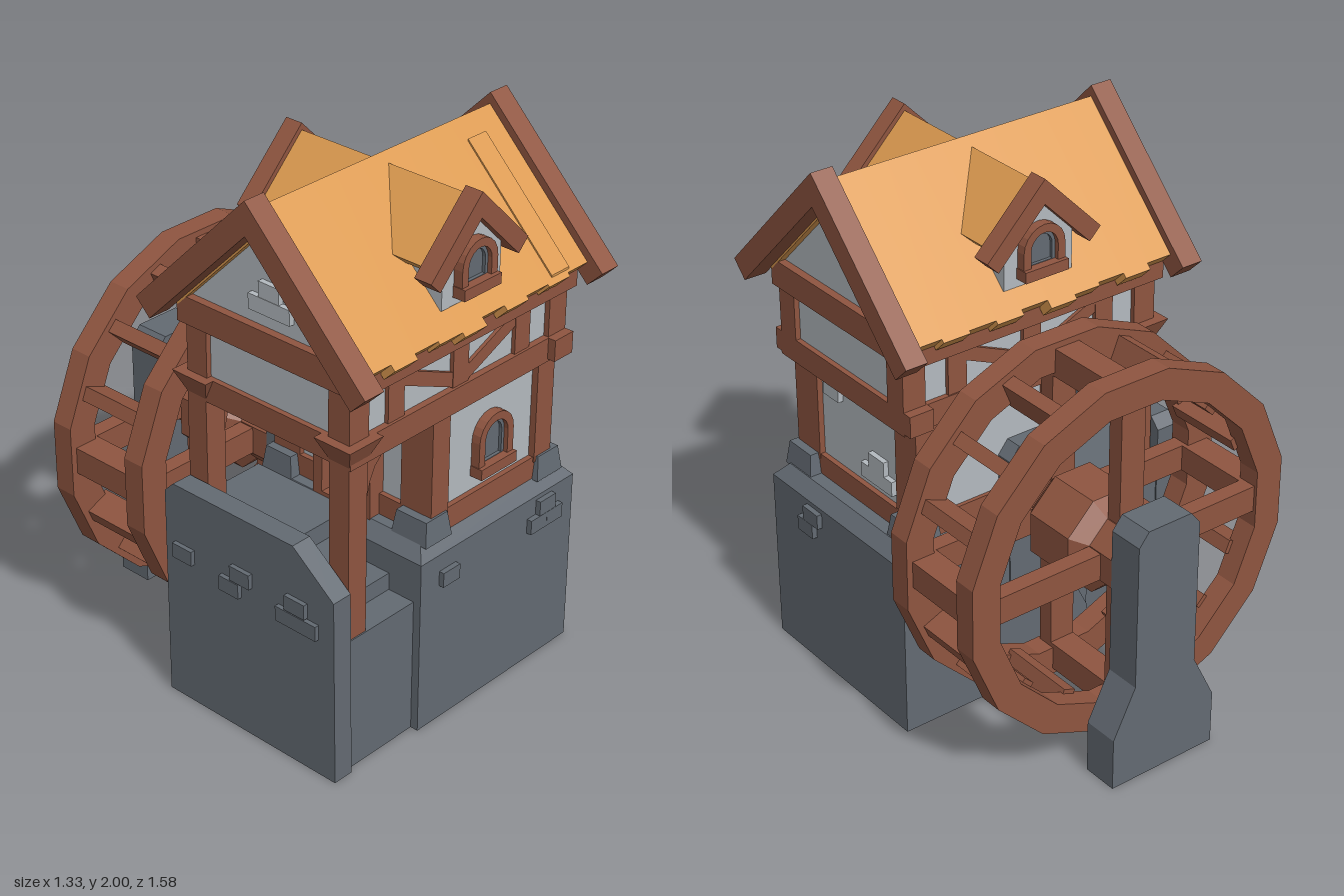
import * as THREE from 'three';

const mat = (name, color) => new THREE.MeshStandardMaterial({ name, color, flatShading: true });
const MID = 0.285; // z of the roof ridge

export function createModel() {
  const stone = mat('dark stone', 0x636a72);
  const plaster = mat('pale plaster', 0xb4babf);
  const wood = mat('red brown wood', 0x8f5540);
  const thatch = mat('golden thatch', 0xdc9a50);
  const root = new THREE.Group();
  root.name = 'watermill';

  const group = (name, parent = root) => {
    const g = new THREE.Group();
    g.name = name;
    parent.add(g);
    return g;
  };
  const add = (parent, name, geo, m) => {
    const mesh = new THREE.Mesh(geo, m);
    mesh.name = name;
    parent.add(mesh);
    return mesh;
  };
  // box from its limits; inset narrows the top
  const box = (parent, name, m, x0, x1, y0, y1, z0, z1, inset = 0) => {
    const geo = new THREE.BoxGeometry(x1 - x0, y1 - y0, z1 - z0);
    const p = geo.attributes.position;
    for (let i = 0; i < p.count; i++) if (p.getY(i) > 0) {
      p.setX(i, p.getX(i) - Math.sign(p.getX(i)) * inset);
      p.setZ(i, p.getZ(i) - Math.sign(p.getZ(i)) * inset);
    }
    geo.translate((x0 + x1) / 2, (y0 + y1) / 2, (z0 + z1) / 2);
    return add(parent, name, geo, m);
  };
  const poly = pts => new THREE.Shape(pts.map(([x, y]) => new THREE.Vector2(x, y)));
  const extrude = (shape, z0, z1) => new THREE.ExtrudeGeometry(shape,
    { depth: z1 - z0, bevelEnabled: false, curveSegments: 5 }).translate(0, 0, z0);
  // inverted V with 45 degree slopes: apex height, half width, end cut
  const chevron = (a, h, c) => poly([[0, a], [-h, a - h], [c - h, a - h - c], [0, a - 2 * c],
    [h - c, a - h - c], [h, a - h]]);
  const alongX = geo => geo.rotateY(Math.PI / 2);
  const arch = (w, h, y0 = 0, T = THREE.Shape) => {
    const s = new T();
    s.moveTo(-w, y0);
    s.lineTo(w, y0);
    s.lineTo(w, h - w);
    s.absarc(0, h - w, w, 0, Math.PI, false);
    s.lineTo(-w, y0);
    return s;
  };
  const archWindow = (parent, x, y, z, w, h, t) => {
    const g = group('window', parent);
    g.position.set(x, y, z);
    const frame = arch(w, h);
    frame.holes.push(arch(w - t, h - t, t, THREE.Path));
    add(g, 'windowFrame', extrude(frame, -0.01, 0.035), wood);
    const inner = arch(w - t, h - t, t);
    inner.holes.push(arch(w - t - 0.012, h - t - 0.012, t + 0.012, THREE.Path));
    add(g, 'innerFrame', extrude(inner, -0.01, 0.018), stone);
    add(g, 'glass', extrude(arch(w - t, h - t, t), 0, 0.006), stone);
    box(g, 'windowSill', wood, -w - 0.003, w + 0.003, 0, t + 0.01, 0, 0.05);
  };

  // stone base, side wall, porch floor and steps
  const base = group('stoneBase');
  box(base, 'baseBlock', stone, -0.22, 0.58, 0, 0.67, -0.11, 0.68);
  box(base, 'baseTop', stone, -0.22, 0.58, 0.67, 0.72, -0.11, 0.68, 0.045);
  [[0.515, 0.65], [0.58, 0.54], [0.65, 0.43], [0.72, 0.32]].forEach(([y, z]) =>
    box(base, 'step', stone, -0.56, -0.18, 0, y, -0.105, z));
  const side = poly([[0.11, 0], [0.11, 0.81], [0.07, 0.85], [-0.48, 0.85], [-0.66, 0.71], [-0.67, 0]]);
  add(base, 'sideWall', alongX(extrude(side, -0.62, -0.54)), stone);

  // lower storey
  const lower = group('lowerStorey');
  box(lower, 'lowerWall', plaster, -0.115, 0.465, 0.72, 1.16, -0.05, 0.62);
  box(lower, 'sillBeam', wood, -0.135, 0.485, 0.71, 0.8, -0.065, 0.64);
  for (const [x0, x1] of [[-0.135, -0.05], [0.4, 0.487]]) {
    for (const [z0, z1] of [[-0.07, 0.05], [0.51, 0.645]]) {
      box(lower, 'cornerPost', wood, x0, x1, 0.78, 1.17, z0, z1);
      const out = x0 < 0 ? [x0 - 0.045, x1] : [x0, x1 + 0.045];
      box(lower, 'cornerStone', stone, ...out, 0.71, 0.8, z0 - (z0 < 0 ? 0.02 : 0), z1 + (z0 > 0 ? 0.02 : 0), 0.012);
    }
  }
  archWindow(lower, 0.18, 0.855, 0.62, 0.088, 0.22, 0.03);
  // door opening onto the porch
  const door = arch(0.13, 0.41);
  door.holes.push(arch(0.09, 0.37, 0.02, THREE.Path));
  const doorGroup = group('porchDoor', lower);
  doorGroup.position.set(-0.11, 0.715, MID);
  doorGroup.rotation.y = -Math.PI / 2;
  add(doorGroup, 'doorFrame', extrude(door, 0, 0.07), wood);
  add(doorGroup, 'doorLeaf', extrude(arch(0.1, 0.38), 0, 0.02), wood);

  // porch posts with capitals and curved braces
  const porch = group('porch');
  const brace = new THREE.Shape();
  brace.moveTo(-0.46, 0.93);
  brace.lineTo(-0.45, 0.93);
  brace.bezierCurveTo(-0.44, 1.08, -0.41, 1.15, -0.32, 1.17);
  brace.lineTo(-0.46, 1.17);
  for (const [z0, z1, y0] of [[0.56, 0.645, 0.5], [-0.075, 0.01, 0.7]]) {
    box(porch, 'porchPost', wood, -0.535, -0.45, y0, 1.2, z0, z1);
    box(porch, 'postCapital', wood, -0.535, -0.45, 1.17, 1.25, z0, z1, -0.035);
    add(porch, 'curvedBrace', extrude(brace, z0 + 0.01, z1 - 0.01), wood);
  }

  // upper storey timber frame
  const upper = group('upperStorey');
  box(upper, 'floorBeam', wood, -0.535, 0.535, 1.16, 1.25, -0.075, 0.65);
  for (const z of [[0.62, 0.68], [-0.11, -0.05]])
    box(upper, 'sideBeamEnd', wood, 0.44, 0.535, 1.17, 1.25, ...z);
  box(upper, 'upperWall', plaster, -0.515, 0.515, 1.25, 1.43, -0.055, 0.625);
  box(upper, 'eaveBeam', wood, -0.54, 0.54, 1.42, 1.52, -0.11, 0.68);
  for (const x of [-0.49, 0.49]) for (const z of [-0.028, 0.6])
    box(upper, 'upperPost', wood, x - 0.045, x + 0.045, 1.25, 1.43, z - 0.045, z + 0.045);
  for (const z of [-0.055, 0.625]) {
    for (const x of [-0.312, 0, 0.312])
      box(upper, 'stud', wood, x - 0.038, x + 0.038, 1.25, 1.43, z - 0.015, z + 0.015);
    for (const s of [-1, 1]) {
      const b = add(upper, 'diagonalBrace', new THREE.BoxGeometry(0.28, 0.05, 0.026), wood);
      b.position.set(s * 0.152, 1.33, z);
      b.rotation.z = s * 0.41;
    }
  }

  // gable, ragged thatch and end rafters
  const roof = group('roof');
  roof.position.z = MID;
  add(roof, 'gable', alongX(extrude(poly([[-0.38, 1.5], [0.38, 1.5], [0, 1.88]]), -0.51, 0.51)), plaster);
  const lengths = [0.435, 0.452, 0.438, 0.446, 0.458, 0.436, 0.45, 0.44, 0.447, 0.437];
  const step = 1.08 / lengths.length;
  lengths.forEach((h, i) => add(roof, 'thatchStrip',
    alongX(extrude(chevron(1.96, h, 0.045), -0.54 + i * step, -0.54 + (i + 1) * step)), thatch));
  const patch = poly([[-0.06, 1.908], [-0.43, 1.538], [-0.43, 1.52], [-0.06, 1.89]]);
  add(roof, 'thatchPatch', alongX(extrude(patch, 0.355, 0.445)), thatch);
  for (const x of [-0.62, 0.535])
    add(roof, 'endRafter', alongX(extrude(chevron(2, 0.5, 0.06), x, x + 0.085)), wood);

  // dormers on both slopes
  for (const turn of [0, Math.PI]) {
    const d = group('dormer', roof);
    d.rotation.y = turn;
    const front = poly([[-0.142, 1.58], [0.142, 1.58], [0.142, 1.73], [0, 1.87], [-0.142, 1.73]]);
    add(d, 'dormerWall', extrude(front, 0.1, 0.385), plaster);
    add(d, 'dormerThatch', extrude(chevron(1.93, 0.19, 0.03), 0.01, 0.37), thatch);
    add(d, 'dormerRafter', extrude(chevron(1.955, 0.235, 0.045), 0.35, 0.42), wood);
    archWindow(d, 0, 1.61, 0.385, 0.086, 0.185, 0.03);
  }

  // water wheel
  const wheel = group('waterWheel');
  wheel.position.set(0, 0.76, 0);
  const ngon = (r, T) => {
    const s = new T();
    for (let i = 0; i < 16; i++) {
      const a = (i + 0.5) * Math.PI / 8;
      s[i ? 'lineTo' : 'moveTo'](r * Math.cos(a), r * Math.sin(a));
    }
    s.closePath();
    return s;
  };
  const ring = ngon(0.678, THREE.Shape);
  ring.holes.push(ngon(0.565, THREE.Path));
  for (const [z0, z1] of [[-0.61, -0.525], [-0.255, -0.17]]) {
    add(wheel, 'wheelRing', extrude(ring, z0, z1), wood);
    box(wheel, 'spokePair', wood, -0.58, 0.58, -0.05, 0.05, z0 + 0.012, z1 - 0.012);
    box(wheel, 'spokePair', wood, -0.05, 0.05, -0.58, 0.58, z0 + 0.012, z1 - 0.012);
  }
  for (let i = 0; i < 16; i++) {
    const a = i * Math.PI / 8;
    const p = add(wheel, 'paddle', new THREE.BoxGeometry(0.105, i % 4 ? 0.05 : 0.1, 0.3), wood);
    p.position.set(0.59 * Math.cos(a), 0.59 * Math.sin(a), -0.39);
    p.rotation.z = a;
  }
  const drum = (name, pts) => add(wheel, name, new THREE.LatheGeometry(
    pts.map(([r, z]) => new THREE.Vector2(r, z)), 8, Math.PI / 8).rotateX(Math.PI / 2), wood);
  drum('axle', [[0, -0.7], [0.14, -0.7], [0.14, -0.08], [0, -0.08]]);
  drum('hub', [[0, -0.54], [0.14, -0.54], [0.195, -0.49], [0.195, -0.29], [0.14, -0.24], [0, -0.24]]);

  // stone axle stands
  const stand = poly([[-0.22, 0], [0.22, 0], [0.22, 0.2], [0.13, 0.38], [0.13, 0.93], [0.09, 0.98],
    [-0.09, 0.98], [-0.13, 0.93], [-0.13, 0.38], [-0.22, 0.2]]);
  add(root, 'outerStand', extrude(stand, -0.79, -0.655), stone);
  add(root, 'innerStand', extrude(stand, -0.115, -0.03), stone);

  // loose bricks standing out of the walls
  const bricks = group('bricks');
  const brick = (m, x, y, z, onSide) => {
    const [dx, dz] = onSide ? [0.015, 0.045] : [0.042, 0.015];
    box(bricks, 'brick', m, x - dx, x + dx, y - 0.028, y + 0.028, z - dz, z + dz);
  };
  [[-0.085, 0.577], [0.42, 0.625], [0.375, 0.568], [0.46, 0.568]].forEach(([x, y]) => brick(stone, x, y, 0.685));
  [[0.42, 0.625], [0.455, 0.568]].forEach(([z, y]) => brick(stone, 0.585, y, z, true));
  [[0.43, 1.09], [0.17, 0.918], [0.215, 0.862], [0.125, 0.862]].forEach(([z, y]) => brick(plaster, 0.47, y, z, true));
  [[-0.02, 0.6], [0.2, 0.57], [0.25, 0.63], [0.46, 0.57], [0.5, 0.63], [0.55, 0.57]]
    .forEach(([z, y]) => brick(stone, -0.622, y, z, true));
  [[0.25, 1.6], [0.34, 1.6], [0.295, 1.657]].forEach(([z, y]) => brick(plaster, -0.515, y, z, true));
  return root;
}
